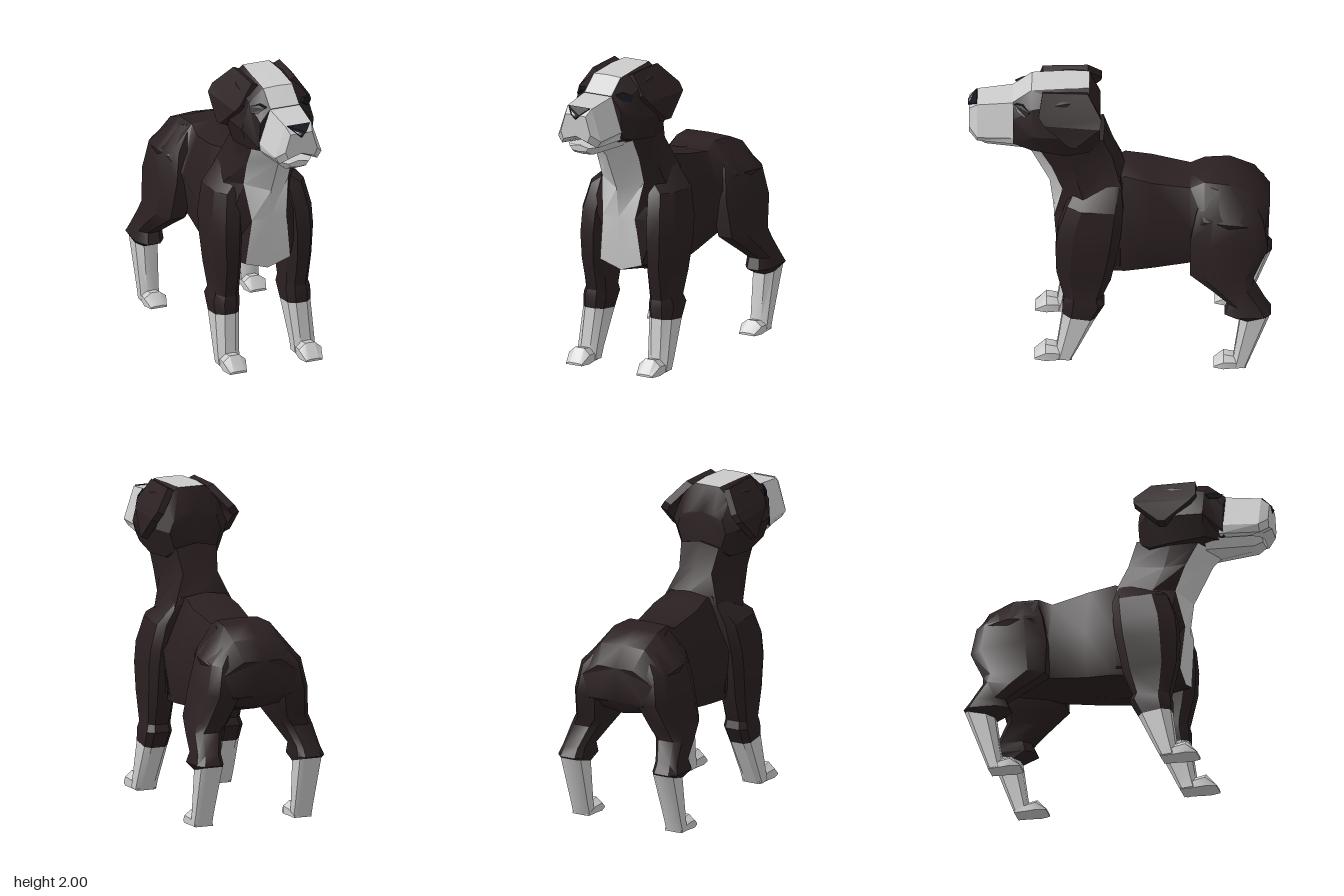
import * as THREE from 'three';
import { toCreasedNormals } from 'three/addons/utils/BufferGeometryUtils.js';

const mat = (color) => new THREE.MeshStandardMaterial({ color, side: THREE.DoubleSide });
const coat = mat(0x2b2021), white = mat(0xcccccc), ink = mat(0x14171f);

// Skin closed rings of points, cap both ends, face outward; paint(ring, column) picks a material.
function loft(name, rings, paint, crease = 0.5) {
  const n = rings[0].length, faces = new Map();
  let volume = 0;
  const add = (material, a, b, c) => {
    if (!faces.has(material)) faces.set(material, []);
    faces.get(material).push([a, b, c]);
    volume += new THREE.Vector3(...a).dot(new THREE.Vector3(...b).cross(new THREE.Vector3(...c)));
  };
  for (let r = 0; r < rings.length - 1; r++) {
    for (let i = 0; i < n; i++) {
      const k = (i + 1) % n, [p, q] = [rings[r], rings[r + 1]], m = paint(r, i, n);
      add(m, p[i], p[k], q[k]);
      add(m, p[i], q[k], q[i]);
    }
  }
  const last = rings.length - 1;
  for (let i = 1; i < n - 1; i++) {
    add(paint(0, i, n), rings[0][0], rings[0][i + 1], rings[0][i]);
    add(paint(last - 1, i, n), rings[last][0], rings[last][i], rings[last][i + 1]);
  }
  const group = new THREE.Group();
  group.name = name;
  for (const [material, tris] of faces) {
    const points = tris.flatMap(([a, b, c]) => (volume > 0 ? [a, b, c] : [a, c, b])).flat();
    const geo = new THREE.BufferGeometry();
    geo.setAttribute('position', new THREE.Float32BufferAttribute(points, 3));
    const mesh = new THREE.Mesh(toCreasedNormals(geo, crease), material);
    mesh.name = name + (material === white ? 'White' : material === ink ? 'Dark' : 'Coat');
    group.add(mesh);
  }
  return group;
}

// Complete a half ring whose first and last points lie on the centre plane.
const mirror = (half) => [...half, ...half.slice(1, -1).reverse().map(([x, y, z]) => [-x, y, z])];
const atZ = (z, half) => mirror(half.map(([x, y]) => [x, y, z]));

// Eight-sided leg section, tilted between its back and front heights.
function legRing(s, [x0, x1, zb, zf, yb, yf]) {
  return [[0.2, 0], [0.78, 0], [1, 0.15], [1, 0.75], [0.72, 1], [0.25, 1], [0, 0.8], [0, 0.15]].map(([u, v]) =>
    [s * (x0 + (x1 - x0) * u), yb + (yf - yb) * v, zb + (zf - zb) * v]);
}

// Wedge-shaped paw from heel to toe.
function paw(name, s, x0, x1, heel, toe, height) {
  const ring = (t, h, inset) => {
    const z = heel + (toe - heel) * t;
    return [[x0 + inset, 0], [x1 - inset, 0], [x1 - inset, h * 0.6], [x1 - 0.045, h], [x0 + 0.045, h], [x0 + inset, h * 0.6]]
      .map(([x, y]) => [s * x, y, z]);
  };
  return loft(name, [ring(0, 0.02, 0.015), ring(0.4, height * 0.85, 0.01), ring(0.7, height, 0), ring(1, 0.015, 0.02)], () => white);
}

export function createModel() {
  const dog = new THREE.Group();
  dog.name = 'dog';
  const dark = () => coat;
  const centreStripe = (i, n) => i === 0 || i === n - 1;

  // Trunk from withers to rounded rump
  dog.add(loft('trunk', [
    atZ(0.1, [[0, 1.3], [0.12, 1.27], [0.26, 1.0], [0.22, 0.64], [0, 0.57]]),
    atZ(-0.03, [[0, 1.35], [0.14, 1.33], [0.29, 0.98], [0.24, 0.65], [0, 0.59]]),
    atZ(-0.2, [[0, 1.32], [0.16, 1.29], [0.275, 0.95], [0.22, 0.66], [0, 0.62]]),
    atZ(-0.45, [[0, 1.25], [0.14, 1.24], [0.24, 0.98], [0.2, 0.69], [0, 0.665]]),
    atZ(-0.54, [[0, 1.29], [0.14, 1.285], [0.3, 1.08], [0.22, 0.72], [0, 0.68]]),
    atZ(-0.7, [[0, 1.285], [0.16, 1.28], [0.33, 1.08], [0.24, 0.75], [0, 0.72]]),
    atZ(-0.86, [[0, 1.22], [0.16, 1.21], [0.31, 1.05], [0.24, 0.8], [0, 0.76]]),
    mirror([[0, 1.09, -0.96], [0.13, 1.09, -0.96], [0.26, 1.0, -0.93], [0.2, 0.86, -0.95], [0, 0.86, -0.95]]),
  ], dark, 0.8));

  // Chest and neck with a white front
  dog.add(loft('chestAndNeck', [
    [[0, 0.575, 0.09], [0.1, 0.6, 0.09], [0.2, 0.64, 0.08], [0.2, 0.65, 0], [0, 0.6, 0]],
    [[0, 0.64, 0.4], [0.155, 0.69, 0.4], [0.22, 0.7, 0.25], [0.25, 0.7, 0], [0, 0.7, -0.02]],
    [[0, 1.0, 0.43], [0.12, 1.0, 0.425], [0.24, 1.0, 0.36], [0.28, 1.0, 0], [0, 1.0, -0.03]],
    [[0, 1.2, 0.455], [0.155, 1.24, 0.37], [0.24, 1.22, 0.24], [0.2, 1.27, -0.01], [0, 1.34, -0.03]],
    [[0, 1.455, 0.585], [0.16, 1.42, 0.44], [0.18, 1.4, 0.3], [0.12, 1.46, 0.05], [0, 1.5, 0.06]],
    [[0, 1.52, 0.66], [0.16, 1.56, 0.52], [0.2, 1.56, 0.35], [0.14, 1.62, 0.11], [0, 1.65, 0.1]],
  ].map(mirror), (r, i, n) => (r > 0 && centreStripe(i, n) ? white : coat)));

  // Head with a white blaze
  dog.add(loft('head', [
    atZ(0.69, [[0, 1.89], [0.1, 1.89], [0.17, 1.8], [0.18, 1.62], [0.1, 1.58], [0, 1.57]]),
    atZ(0.57, [[0, 1.99], [0.1, 1.985], [0.2, 1.9], [0.25, 1.72], [0.2, 1.58], [0, 1.54]]),
    atZ(0.35, [[0, 2], [0.1, 2], [0.2, 1.95], [0.27, 1.72], [0.22, 1.55], [0, 1.5]]),
    atZ(0.2, [[0, 2], [0.09, 2], [0.17, 1.94], [0.25, 1.74], [0.18, 1.55], [0, 1.5]]),
    atZ(0.13, [[0, 1.84], [0.09, 1.83], [0.15, 1.8], [0.18, 1.72], [0.14, 1.6], [0, 1.58]]),
  ], (r, i, n) => (r < 3 && centreStripe(i, n) ? white : coat)));

  // Muzzle, lower jaw and nose
  dog.add(loft('muzzle', [
    atZ(0.66, [[0, 1.89], [0.105, 1.89], [0.18, 1.66], [0.17, 1.605], [0, 1.6]]),
    atZ(0.92, [[0, 1.86], [0.09, 1.86], [0.16, 1.65], [0.13, 1.605], [0, 1.66]]),
    atZ(0.972, [[0, 1.82], [0.075, 1.82], [0.11, 1.7], [0.09, 1.65], [0, 1.68]]),
  ], () => white, 0.3));
  dog.add(loft('lowerJaw', [
    atZ(0.56, [[0, 1.6], [0.15, 1.59], [0.11, 1.53], [0, 1.49]]),
    atZ(0.87, [[0, 1.6], [0.11, 1.595], [0.07, 1.54], [0, 1.535]]),
    atZ(0.925, [[0, 1.61], [0.07, 1.595], [0.05, 1.57], [0, 1.565]]),
  ], () => white, 0.3));
  const nose = [[-0.08, 1.866, 0.926], [0.08, 1.866, 0.926], [0.03, 1.824, 0.98], [0, 1.797, 0.98], [-0.03, 1.824, 0.98]];
  dog.add(loft('nose', [nose.map(([x, y, z]) => [x, y - 0.03, z - 0.03]), nose], () => ink, 0));

  for (const s of [1, -1]) {
    const side = s > 0 ? 'left' : 'right';

    // Almond eye set into the sloping cheek
    const eye = (lift) => [[0.68, 1.895, 0.13], [0.63, 1.905, 0.154], [0.58, 1.88, 0.203], [0.605, 1.845, 0.202], [0.66, 1.86, 0.17]]
      .map(([z, y, x]) => [s * (x + lift), y, z + lift]);
    dog.add(loft(side + 'Eye', [eye(-0.025), eye(0.003)], () => ink, 0));

    // Folded ear, flaring toward the back
    const ear = [[0.16, 0.15, 2.0, 0.21, 0.5], [0.27, 0.24, 1.87, 0.12, 0.525], [0.305, 0.265, 1.82, 0.13, 0.49], [0.31, 0.3, 1.675, 0.29, 0.33]]
      .map(([xb, xf, y, zb, zf]) => [[xb, y, zb], [xf, y, zf], [xf - 0.045, y - 0.02, zf], [xb - 0.045, y - 0.02, zb]]
        .map(([px, py, pz]) => [s * px, py, pz]));
    dog.add(loft(side + 'Ear', ear, dark, 0.3));

    // Front leg: shoulder, elbow cuff, white shin
    dog.add(loft(side + 'FrontLeg', [
      [0.1, 0.17, 0, 0.28, 1.33, 1.25], [0.12, 0.31, -0.02, 0.34, 1.15, 1.17],
      [0.14, 0.345, -0.005, 0.4, 0.98, 1.0], [0.15, 0.35, 0.01, 0.415, 0.87, 0.85],
      [0.16, 0.335, 0.06, 0.41, 0.62, 0.68], [0.165, 0.32, 0.12, 0.36, 0.47, 0.46],
      [0.16, 0.335, 0.1, 0.37, 0.42, 0.42], [0.17, 0.33, 0.16, 0.37, 0.31, 0.34],
      [0.19, 0.335, 0.275, 0.405, 0.07, 0.09], [0.19, 0.335, 0.31, 0.42, 0, 0.01],
    ].map((p) => legRing(s, p)), (r) => (r > 6 ? white : coat), 0.45));
    dog.add(paw(side + 'FrontPaw', s, 0.185, 0.34, 0.31, 0.55, 0.1));

    // Hind leg: haunch, hock, white shank
    dog.add(loft(side + 'HindLeg', [
      [0.08, 0.18, -0.84, -0.55, 1.2, 1.27], [0.1, 0.31, -0.92, -0.49, 1.06, 1.12],
      [0.11, 0.35, -0.95, -0.45, 0.87, 0.92], [0.17, 0.385, -0.86, -0.45, 0.68, 0.68],
      [0.22, 0.41, -0.85, -0.6, 0.62, 0.57], [0.265, 0.425, -0.93, -0.7, 0.49, 0.49],
      [0.26, 0.445, -0.97, -0.67, 0.43, 0.42], [0.27, 0.42, -0.965, -0.77, 0.42, 0.37],
      [0.285, 0.41, -0.84, -0.73, 0.08, 0.08], [0.285, 0.41, -0.81, -0.72, 0, 0.01],
    ].map((p) => legRing(s, p)), (r) => (r > 6 ? white : coat), 0.7));
    dog.add(paw(side + 'HindPaw', s, 0.27, 0.42, -0.81, -0.6, 0.085));
  }
  return dog;
}
